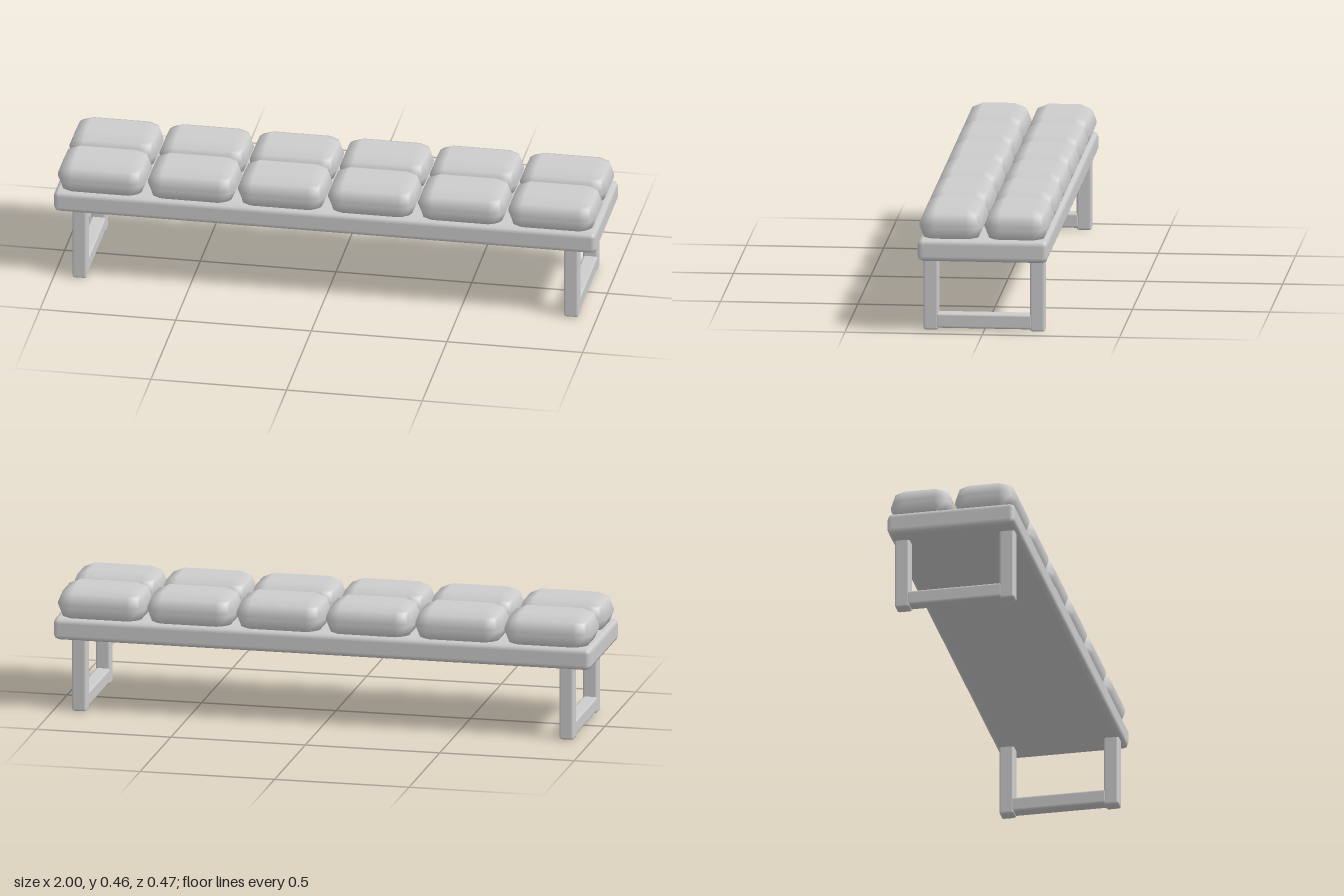
import * as THREE from 'three';
import { RoundedBoxGeometry } from 'three/addons/geometries/RoundedBoxGeometry.js';

export function createModel() {
  const group = new THREE.Group();
  group.name = 'cushionedBench';
  const paleGrey = new THREE.MeshStandardMaterial({ color: 0xcccccc });
  paleGrey.name = 'paleGrey';

  // softened box given by its centre and size
  function block(name, [x, y, z], [w, h, d], radius) {
    const mesh = new THREE.Mesh(new RoundedBoxGeometry(w, h, d, 1, radius), paleGrey);
    mesh.name = name;
    mesh.position.set(x, y, z);
    group.add(mesh);
  }

  // seat slab
  block('seatBase', [0, 0.307, 0], [2, 0.082, 0.474], 0.02);

  // two rows of six cushions, sunk slightly into the slab
  for (const side of [-1, 1]) {
    for (let i = 0; i < 6; i++) {
      block('cushion', [(i - 2.5) * 0.332, 0.392, side * 0.119], [0.326, 0.128, 0.232], 0.059);
    }
  }

  // a pair of legs joined by a floor rail at each end
  for (const end of [-1, 1]) {
    const x = end * 0.906;
    for (const side of [-1, 1]) {
      block('leg', [x, 0.145, side * 0.194], [0.054, 0.29, 0.055], 0.009);
    }
    block('floorRail', [x, 0.035, 0], [0.054, 0.055, 0.352], 0.009);
  }
  return group;
}
